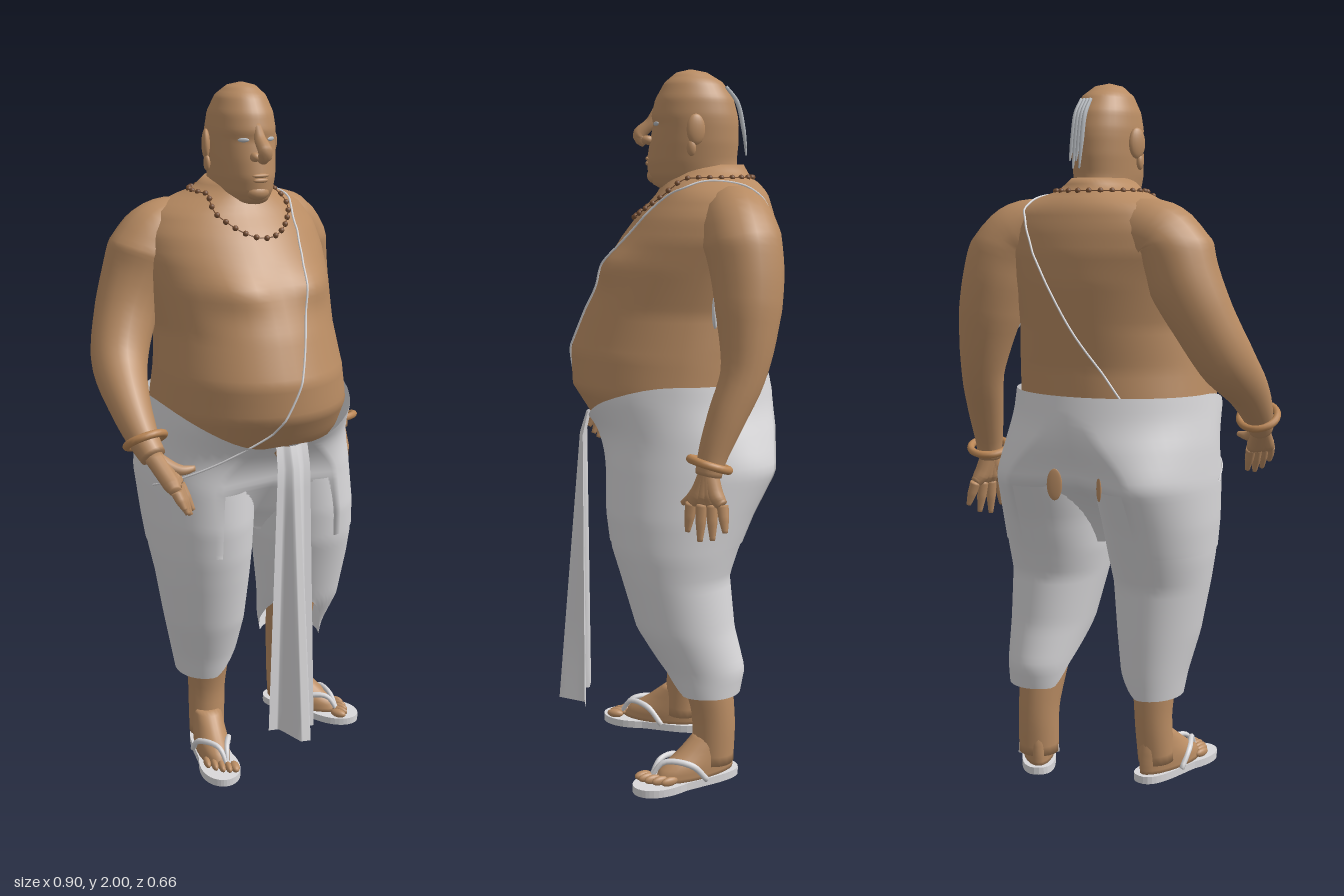
import * as THREE from 'three';

const mat = (name, color, side = THREE.FrontSide) => {
  const m = new THREE.MeshStandardMaterial({ color, side });
  m.name = name;
  return m;
};
const V = (x, y, z) => new THREE.Vector3(x, y, z);
const { lerp, clamp, smoothstep } = THREE.MathUtils;

// Point on a body described by rows [y, centreX, halfWidth, backZ, frontZ, widestZ]; angle 0 is the front
function surface(rows, y, a, push = 0) {
  let i = 0;
  while (i < rows.length - 2 && y < rows[i + 1][0]) i++;
  const p = rows[i], q = rows[i + 1], t = clamp((p[0] - y) / (p[0] - q[0]), 0, 1);
  const [, cx, hw, zb, zf, zc] = p.map((v, k) => lerp(v, q[k], t));
  const s = Math.sin(a), c = Math.cos(a);
  return V(cx + (hw + push) * s, y, zc + c * ((c > 0 ? zf - zc : zc - zb) + push));
}
const body = rows => (y, a) => surface(rows, y, a);

// Skin over rings of points, optionally closed at both ends
function skin(rings, capped = true) {
  const n = rings[0].length, pos = [], idx = [];
  rings.forEach(r => r.forEach(p => pos.push(p.x, p.y, p.z)));
  for (let i = 0; i < rings.length - 1; i++) for (let j = 0; j < n; j++) {
    const k = (j + 1) % n, a = i * n + j, b = a + n, c = (i + 1) * n + k, d = i * n + k;
    idx.push(a, b, c, a, c, d);
  }
  if (capped) [0, rings.length - 1].forEach((r, e) => {
    const m = rings[r].reduce((s, p) => s.add(p), V(0, 0, 0)).divideScalar(n), id = pos.length / 3;
    pos.push(m.x, m.y, m.z);
    for (let j = 0; j < n; j++) {
      const a = r * n + j, b = r * n + (j + 1) % n;
      idx.push(id, e ? b : a, e ? a : b);
    }
  });
  const g = new THREE.BufferGeometry();
  g.setAttribute('position', new THREE.Float32BufferAttribute(pos, 3));
  g.setIndex(idx);
  g.computeVertexNormals();
  return g;
}

// Lofted body between an upper and a lower edge, both heights as functions of the angle
const loft = (point, top, bottom, capped, steps = 28, n = 36) =>
  skin(Array.from({ length: steps + 1 }, (_, i) => Array.from({ length: n }, (_, j) => {
    const a = j / n * Math.PI * 2;
    return point(lerp(top(a), bottom(a), i / steps), a);
  })), capped);

// Round limb through points [x, y, z, radius]
function limb(pts, n = 14, steps = pts.length * 4) {
  const curve = new THREE.CatmullRomCurve3(pts.map(p => V(p[0], p[1], p[2])));
  const f = curve.computeFrenetFrames(steps);
  return skin(Array.from({ length: steps + 1 }, (_, i) => {
    const u = i / steps * (pts.length - 1), k = Math.min(Math.floor(u), pts.length - 2);
    const c = curve.getPoint(i / steps), r = lerp(pts[k][3], pts[k + 1][3], u - k);
    return Array.from({ length: n }, (_, j) => {
      const a = -j / n * Math.PI * 2;
      return c.clone().addScaledVector(f.normals[i], r * Math.cos(a)).addScaledVector(f.binormals[i], r * Math.sin(a));
    });
  }));
}

export function createModel() {
  const root = new THREE.Group();
  const skinMat = mat('skin', 0xb98c63), cloth = mat('cloth', 0xd9d8da, THREE.DoubleSide);
  const beadMat = mat('beads', 0x785034), bangleMat = mat('bangle', 0xba8655), hairMat = mat('hair', 0xb4b8bd);
  const add = (name, geo, m = skinMat, parent = root) => {
    const mesh = new THREE.Mesh(geo, m);
    mesh.name = name;
    parent.add(mesh);
    return mesh;
  };
  const blob = (name, p, s, m = skinMat, parent = root) => {
    const b = add(name, new THREE.SphereGeometry(1, 16, 12), m, parent);
    b.position.set(...p);
    b.scale.set(...s);
    return b;
  };

  // Torso with sloping shoulders, heavy belly and soft chest, turned slightly to one side
  const torsoRows = [
    [1.74, 0, .075, -.215, -.01, -.11], [1.705, 0, .118, -.235, 0, -.12], [1.685, 0, .175, -.265, .015, -.15],
    [1.655, 0, .235, -.285, .035, -.17], [1.6, 0, .275, -.302, .085, -.17], [1.54, 0, .285, -.312, .13, -.15],
    [1.46, 0, .275, -.312, .178, -.1], [1.34, 0, .262, -.295, .235, -.06], [1.22, 0, .278, -.275, .28, -.04],
    [1.12, 0, .287, -.275, .275, -.04], [1.04, 0, .275, -.27, .223, -.04], [.9, 0, .2, -.2, .1, -.05]];
  const torso = (y, a, push = 0) => {
    const p = surface(torsoRows, y, a, push);
    if (Math.cos(a) > 0) p.z += .026 * Math.exp(-(((Math.abs(p.x) - .12) / .075) ** 2) - ((y - 1.465) / .05) ** 2);
    p.z -= .06 * p.x * smoothstep(y, 1.1, 1.25);
    return p;
  };
  add('torso', loft(torso, () => 1.74, () => .9, true, 50, 44));

  // Head
  const head = [
    [2, .005, .004, -.07, -.06, -.065], [1.992, .005, .038, -.11, -.025, -.066], [1.965, .005, .068, -.155, .008, -.068],
    [1.92, .005, .087, -.185, .034, -.07], [1.875, .005, .093, -.197, .045, -.07], [1.85, .005, .093, -.2, .04, -.07],
    [1.8, .005, .091, -.2, .05, -.07], [1.75, .005, .086, -.195, .058, -.07], [1.71, .005, .08, -.2, .054, -.08],
    [1.685, .005, .07, -.21, .04, -.09], [1.66, .005, .075, -.22, -.01, -.11]];
  add('head', loft(body(head), () => 2, () => 1.66, true, 40));
  add('nose', limb([[.003, 1.89, .03, .012], [.003, 1.855, .048, .016], [.003, 1.82, .08, .021], [.003, 1.8, .06, .016]], 10));
  for (const s of [-1, 1]) {
    blob('nostril', [.003 + s * .019, 1.808, .055], [.013, .013, .017]);
    const e = surface(head, 1.852, s * .47);
    blob('eye', [e.x, e.y, e.z], [.016, .006, .004], hairMat).rotation.y = s * .5;
    blob('ear', [.005 + s * .1, 1.835, -.085], [.012, .042, .027]).rotation.y = s * .4;
    blob('earlobe', [.005 + s * .103, 1.785, -.073], [.009, .022, .013]);
  }
  blob('upperLip', [.003, 1.757, .054], [.026, .006, .008]);
  blob('lowerLip', [.003, 1.744, .054], [.023, .007, .008]);
  blob('chin', [.003, 1.71, .036], [.034, .022, .022]);

  // Hair tuft
  for (let i = 0; i < 4; i++) {
    const x = .004 + i * .01;
    add('hairTuft', limb([[x, 1.952, -.165, .005], [x, 1.91, -.196, .007], [x, 1.84, -.213, .007], [x + .003, 1.765 + (i % 2) * .02, -.222, .003]], 6), hairMat);
  }

  // Arms, rooted inside the shoulders
  add('leftArm', limb([[.13, 1.6, -.19, .085], [.2, 1.585, -.2, .1], [.25, 1.54, -.215, .107], [.275, 1.46, -.23, .1], [.3, 1.36, -.235, .09],
    [.335, 1.2, -.225, .062], [.36, 1.08, -.18, .052], [.375, .98, -.145, .04], [.38, .93, -.135, .036]], 18));
  add('rightArm', limb([[-.13, 1.6, -.17, .085], [-.2, 1.585, -.165, .1], [-.25, 1.545, -.155, .107], [-.285, 1.46, -.155, .1], [-.33, 1.36, -.135, .088],
    [-.372, 1.25, -.08, .08], [-.39, 1.16, .02, .06], [-.385, 1.07, .11, .042], [-.375, 1.035, .145, .036]], 18));
  blob('armPatch', [.285, 1.355, -.147], [.036, .046, .009], cloth);

  // Hands: palm, four fingers, thumb
  function hand(name, from, to, fingers, thumb) {
    const g = new THREE.Group();
    g.name = name;
    root.add(g);
    const toward = (t, f) => to.map((v, k) => lerp(v, t[k], f));
    for (const [base, tip] of fingers) {
      const mid = base.map((v, k) => lerp(v, tip[k], .5));
      add('palm', limb([[...from, .026], [...toward(base, .6), .024], [...base, .016]], 10), skinMat, g);
      add('finger', limb([[...base, .016], [...mid, .014], [...tip, .007]], 8), skinMat, g);
    }
    add('thumb', limb([[...from, .022], [...toward(thumb, .5), .017], [...thumb, .008]], 8), skinMat, g);
  }
  hand('leftHand', [.38, .94, -.135], [.385, .9, -.13], [0, 1, 2, 3].map(i =>
    [[.38 + i * .009, .855, -.09 - i * .028], [.38 + i * .016, [.775, .752, .76, .785][i], -.08 - i * .034]]), [.345, .845, -.065]);
  hand('rightHand', [-.375, 1.035, .145], [-.36, 1, .18], [0, 1, 2, 3].map(i =>
    [[-.322 - i * .012, .965, .195 + i * .018], [-.297 - i * .016, [.895, .89, .9, .92][i], .225 + i * .017]]), [-.278, 1.005, .2]);

  // Wrist bangles
  const bangle = (p, dir) => {
    const b = add('bangle', new THREE.TorusGeometry(.054, .011, 10, 28), bangleMat);
    b.position.set(...p);
    b.quaternion.setFromUnitVectors(V(0, 0, 1), V(...dir).normalize());
  };
  bangle([.382, .96, -.138], [.15, -1, .3]);
  bangle([-.383, 1.075, .11], [.1, -.85, .55]);

  // Wrapped lower garment: two legs with slanting hems
  const leftLeg = [
    [1.1, .15, .15, -.3, .2, -.06], [1, .155, .16, -.315, .165, -.06], [.9, .162, .162, -.315, .16, -.06],
    [.78, .178, .157, -.255, .158, -.05], [.68, .185, .153, -.215, .145, -.045], [.6, .19, .142, -.19, .12, -.04],
    [.45, .2, .122, -.205, .075, -.07], [.33, .205, .1, -.235, 0, -.12], [.25, .21, .09, -.22, -.03, -.13]];
  const rightLeg = [
    [1.1, -.15, .15, -.295, .2, -.06], [1, -.153, .158, -.305, .165, -.06], [.9, -.155, .16, -.305, .165, -.06],
    [.78, -.155, .155, -.25, .165, -.05], [.68, -.153, .147, -.21, .152, -.04], [.6, -.15, .137, -.18, .135, -.03],
    [.45, -.143, .118, -.17, .1, -.03], [.33, -.138, .095, -.16, .06, -.05], [.25, -.138, .08, -.15, .04, -.05]];
  const hem = (low, rise, turn) => a => low + rise * Math.max(0, Math.cos(a + turn)) ** 1.5;
  add('leftLegWrap', loft(body(leftLeg), () => .89, hem(.265, .22, .6), false, 32, 48), cloth);
  add('rightLegWrap', loft(body(rightLeg), () => .89, hem(.265, .12, -1.5), false, 32, 48), cloth);

  // Hips: the outer halves of both legs joined by a cleft that deepens downwards, easing into the round waist
  const waistRows = [[1.16, 0, .294, -.288, .288, -.04], [1.1, 0, .3, -.3, .284, -.04], [1.02, 0, .31, -.312, .225, -.05], [.85, 0, .32, -.31, .165, -.06]];
  const hips = (y, a, push = .003) => {
    const w = smoothstep(y, .9, 1.1), s = Math.sin(a), front = Math.cos(a) > 0;
    const p = surface(s < 0 ? rightLeg : leftLeg, y, a, push);
    if (Math.abs(s) < 1e-6) {
      const deep = clamp((.9 - y) / .2, 0, 1);
      p.set(0, y, front ? lerp(p.z - .02, -.03, deep) : lerp(p.z + .06, -.06, deep));
    }
    return p.lerp(surface(waistRows, y, a, push), w);
  };
  const waist = a => 1.15 - .12 * Math.max(0, Math.cos(a)) ** 1.8;
  add('hipWrap', loft(hips, waist, () => .7, false, 24, 48), cloth);
  for (const [x, z, w, h, turn] of [[.055, -.283, .022, .045, .35], [-.09, -.284, .01, .035, -.35]])
    blob('bareSpot', [x, .9, z], [w, h, .004]).rotation.y = turn;

  // Pleated front fall
  const flap = new THREE.PlaneGeometry(2, 1, 28, 14), fp = flap.attributes.position;
  for (let i = 0; i < fp.count; i++) {
    const u = fp.getX(i), t = .5 - fp.getY(i);
    const pleat = clamp((.55 - Math.abs(u)) * 3, 0, 1);
    fp.setXYZ(i, .008 + u * lerp(.05, .077, t), lerp(1.035, .155, t) + u * -.012 * t,
      lerp(.228, .242, Math.min(1, t / .07)) + pleat * lerp(.008, .085, t));
  }
  flap.computeVertexNormals();
  add('frontPleats', flap, cloth);

  // Shins
  add('leftShin', limb([[.2, .56, -.06, .085], [.2, .36, -.11, .075], [.205, .2, -.145, .062], [.208, .05, -.145, .06]], 16));
  add('rightShin', limb([[-.13, .56, -.02, .08], [-.13, .36, -.03, .07], [-.13, .2, -.045, .056], [-.135, .05, -.035, .054]], 16));

  // Feet with thong sandals
  const footRows = [[.14, 0, .042, -.06, .045, 0], [.09, 0, .047, -.07, .11, .02], [.055, 0, .05, -.072, .165, .06], [.02, 0, .048, -.07, .185, .07]];
  const sole = new THREE.Shape();
  sole.moveTo(0, .085);
  sole.bezierCurveTo(.065, .085, .048, -.03, .052, -.11);
  sole.bezierCurveTo(.075, -.2, .038, -.25, 0, -.25);
  sole.bezierCurveTo(-.038, -.25, -.075, -.2, -.052, -.11);
  sole.bezierCurveTo(-.048, -.03, -.065, .085, 0, .085);
  const foot = (name, x, z, turn, s) => {
    const g = new THREE.Group();
    g.name = name;
    g.position.set(x, 0, z);
    g.rotation.y = turn;
    root.add(g);
    add('foot', loft(body(footRows), () => .14, () => .02, true, 10, 24), skinMat, g);
    for (let i = 0; i < 5; i++)
      blob('toe', [s * (-.036 + i * .0185), .033, .203 - i * i * .0028], [i ? .01 : .014, .013, .026], skinMat, g);
    const geo = new THREE.ExtrudeGeometry(sole, { depth: .022, bevelEnabled: false, curveSegments: 12 });
    add('sandalSole', geo.rotateX(-Math.PI / 2), cloth, g);
    for (const k of [-1, 1]) add('sandalStrap', limb([[s * -.017, .03, .19, .006], [s * -.012 + k * .012, .075, .155, .008],
      [k * .046, .068, .09, .009], [k * .055, .02, .045, .008]], 8), cloth, g);
  };
  foot('leftFoot', .212, -.14, .58, 1);
  foot('rightFoot', -.138, -.03, -.22, -1);

  // Bead necklace resting on the shoulders
  const ring = new THREE.CatmullRomCurve3(Array.from({ length: 48 }, (_, i) => {
    const a = i / 48 * Math.PI * 2;
    return torso(1.705 - .112 * Math.max(0, Math.cos(a)) ** 6, a, .005);
  }), true);
  add('necklaceCord', new THREE.TubeGeometry(ring, 80, .0015, 5, true), beadMat);
  ring.getSpacedPoints(32).slice(1).forEach(p => blob('bead', p.toArray(), [.008, .008, .008], beadMat));

  // Thin cord over the left shoulder, round to the right hip, as heights and angles on the body
  const wind = new THREE.CatmullRomCurve3([[1.1, 3.75], [1.2, 3.5], [1.35, 3.14], [1.5, 2.85], [1.6, 2.65], [1.67, 2.3], [1.697, 1.6], [1.68, .95],
    [1.63, .5], [1.53, .35], [1.39, .23], [1.26, .08], [1.16, -.07], [1.08, -.22]].map(([y, a]) => V(y, a, 0)));
  const cord = wind.getPoints(70).map(p => torso(p.x, p.y, .003));
  [[1, -.42], [.94, -.85], [.9, -1.3]].forEach(([y, a]) => cord.push(hips(y, a, .006)));
  add('bodyCord', new THREE.TubeGeometry(new THREE.CatmullRomCurve3(cord), 160, .003, 6), cloth);

  return root;
}
